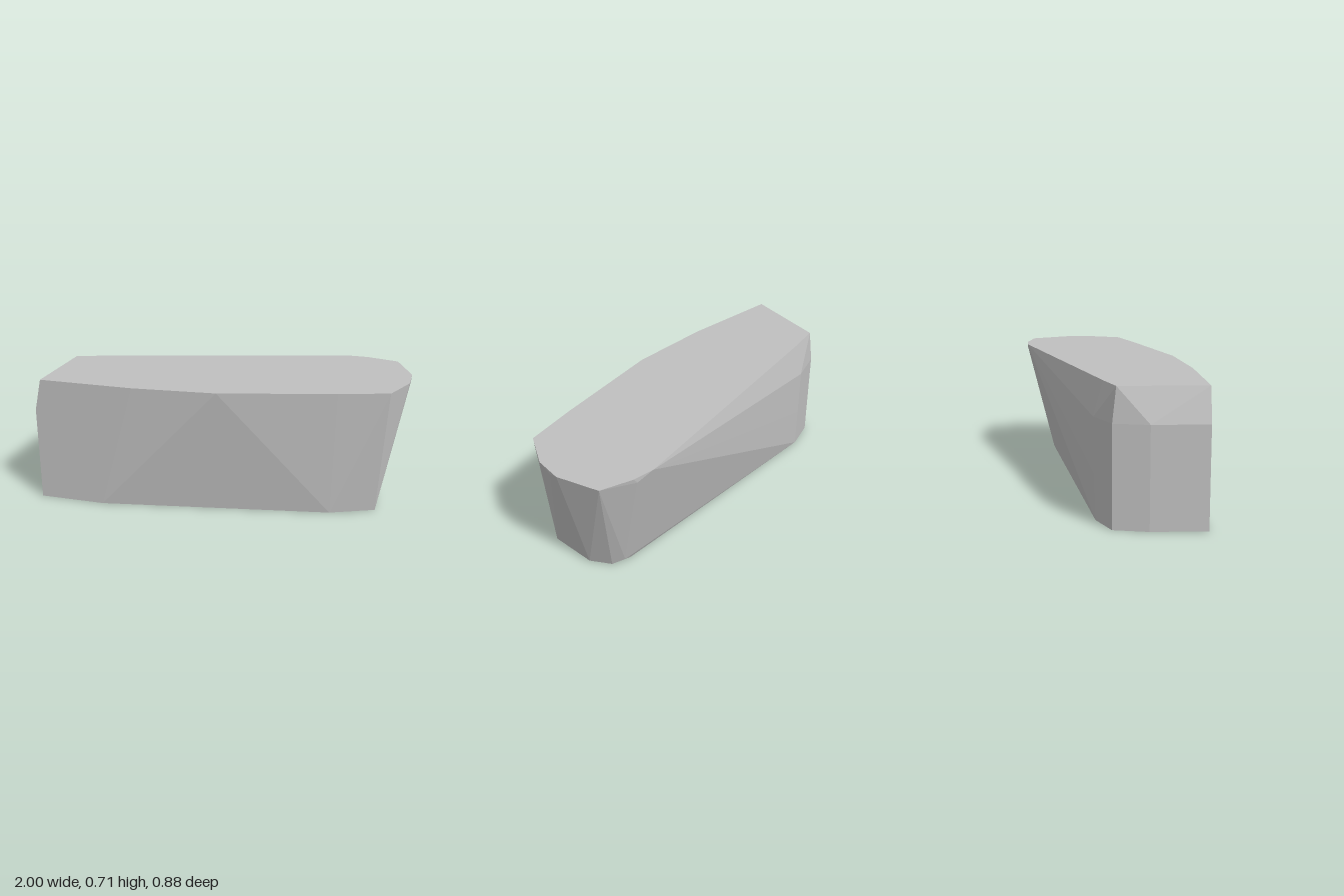
import * as THREE from 'three';
import { ConvexGeometry } from 'three/addons/geometries/ConvexGeometry.js';

// Faceted convex block: corner outlines [x, z] at each height
const levels = [
  // flat top
  { y: 0.71, outline: [[-0.96, 0.44], [-0.43, 0.44], [0.03, 0.4], [0.65, 0.24], [0.92, 0.16], [1, -0.03],
    [1, -0.18], [0.9, -0.4], [0.72, -0.44], [0.6, -0.44], [-0.78, -0.06], [-0.94, -0.01]] },
  // bevels just under the top
  { y: 0.69, outline: [[1, -0.12]] },
  { y: 0.68, outline: [[0.7, -0.44]] },
  // upper edge of the narrow end
  { y: 0.53, outline: [[-1, 0.44], [-0.99, 0.15], [-0.95, -0.03], [-0.78, -0.11]] },
  { y: 0.25, outline: [[-0.78, -0.11]] },
  // bevel just above the base
  { y: 0.03, outline: [[0.69, -0.28]] },
  // flat base
  { y: 0, outline: [[-1, 0.44], [-0.63, 0.44], [0.63, 0.22], [0.87, 0.12], [0.83, -0.14], [0.75, -0.24],
    [0.64, -0.26], [-0.79, -0.1], [-0.95, -0.03], [-0.99, 0.15]] },
];

export function createModel() {
  const group = new THREE.Group();
  group.name = 'facetedBlock';

  const stone = new THREE.MeshStandardMaterial({ color: 0xbfbfbf, flatShading: true });
  stone.name = 'light grey';

  const corners = levels.flatMap(({ y, outline }) => outline.map(([x, z]) => new THREE.Vector3(x, y, z)));
  const block = new THREE.Mesh(new ConvexGeometry(corners), stone);
  block.name = 'block';
  group.add(block);
  return group;
}
